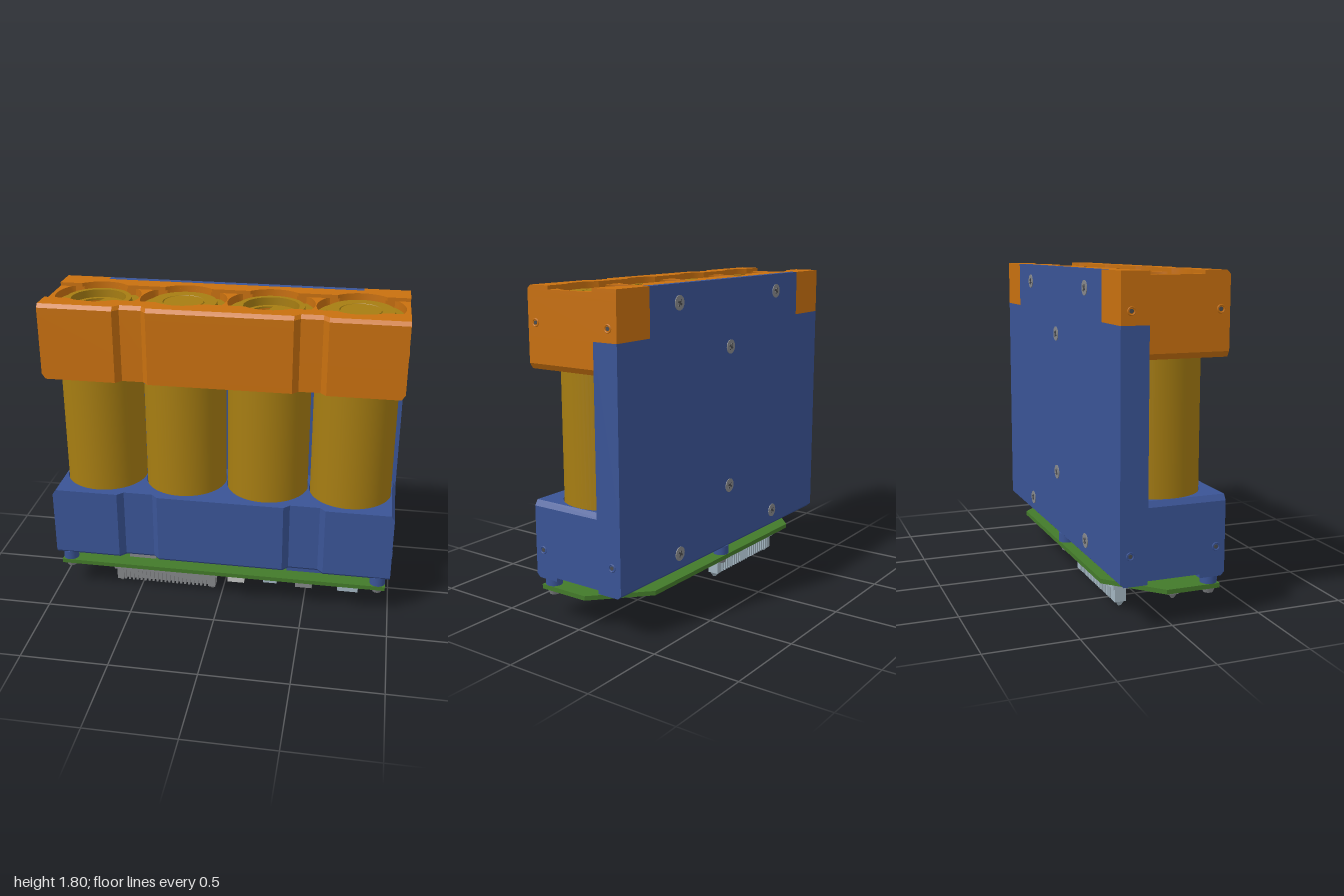
import * as THREE from 'three';
import { toCreasedNormals } from 'three/addons/utils/BufferGeometryUtils.js';

const mat = (name, color) => Object.assign(new THREE.MeshStandardMaterial({ color }), { name });
const CELLS = [0.735, 0.245, -0.245, -0.735];
const MID = 1.017; // height about which the two holders mirror
const R = 0.242, LIP = 0.195;

export function createModel() {
  const orange = mat('orange plastic', 0xc8700f);
  const blue = mat('blue plastic', 0x3a5496);
  const olive = mat('olive cell', 0xa67d12);
  const green = mat('green board', 0x437a2a);
  const grey = mat('grey metal', 0x85878a);
  const steel = mat('pale steel', 0xa3b6c2);
  const dark = mat('dark grey', 0x4a4c50);
  const white = mat('off white part', 0xc4c6c4);

  const root = new THREE.Group();
  root.name = 'batteryPack';
  const group = (name) => {
    const g = new THREE.Group();
    g.name = name;
    root.add(g);
    return g;
  };
  const add = (parent, name, geo, material, x = 0, y = 0, z = 0) => {
    const m = new THREE.Mesh(geo, material);
    m.name = name;
    m.position.set(x, y, z);
    parent.add(m);
    return m;
  };
  const box = (parent, name, material, x0, x1, y0, y1, z0, z1) =>
    add(parent, name, new THREE.BoxGeometry(x1 - x0, y1 - y0, z1 - z0), material,
      (x0 + x1) / 2, (y0 + y1) / 2, (z0 + z1) / 2);

  // Horizontal slab from an (x, z) shape; chamfer pulls the outer rim in at one level
  function slab(parent, name, material, shape, y0, y1, chamferY, cx = 0, cz = 0) {
    let geo = new THREE.ExtrudeGeometry(shape, { depth: y1 - y0, bevelEnabled: false, curveSegments: 40 });
    geo.rotateX(Math.PI / 2).translate(0, y1, 0);
    const p = geo.attributes.position;
    for (let i = 0; i < p.count; i++) {
      if (Math.abs(p.getY(i) - chamferY) > 1e-4) continue;
      const x = p.getX(i), z = p.getZ(i);
      if (Math.abs(x) > 0.99) p.setX(i, x - Math.sign(x) * cx);
      if (Math.abs(z) > 0.245) p.setZ(i, z - Math.sign(z) * cz);
    }
    geo = toCreasedNormals(geo, 0.5);
    add(parent, name, geo, material);
  }

  // Front edge with two shallow grooves, listed from -x to +x
  const frontEdge = (inner, outer) => {
    const pts = [[-1, 0.29]];
    for (const c of [-0.49, 0.49])
      pts.push([c - outer, 0.29], [c - inner, 0.255], [c + inner, 0.255], [c + outer, 0.29]);
    return [...pts, [1, 0.29]];
  };
  const flatBack = [[-1, -0.29], [1, -0.29]];
  const steppedBack = [[-1, -0.29], [-0.74, -0.29], [-0.74, -0.25], [0.74, -0.25], [0.74, -0.29], [1, -0.29]];
  const toShape = (pts) => new THREE.Shape(pts.map(([x, z]) => new THREE.Vector2(x, z)));

  // Closed block with one hole per cell; narrowed holes have flats in z
  function block(front, back, narrowed) {
    const s = toShape([...front, ...[...back].reverse()]);
    for (const c of CELLS) {
      const pts = [];
      for (let i = 0; i < 72; i++) {
        const t = (i / 72) * Math.PI * 2;
        const r = narrowed ? Math.max(LIP, Math.min(R, 0.15 / Math.max(1e-3, Math.abs(Math.sin(t))))) : R;
        pts.push(new THREE.Vector2(c + r * Math.cos(t), r * Math.sin(t)));
      }
      s.holes.push(new THREE.Path(pts));
    }
    return s;
  }
  // Block whose other edge, at z = e, is cut by the cell circles
  function scalloped(edge, e, r, clockwise) {
    const s = toShape(edge);
    s.lineTo(1, e);
    const a = Math.asin(e / r);
    for (const c of CELLS) s.absarc(c, 0, r, a, Math.PI - a, clockwise);
    s.lineTo(-1, e);
    return s;
  }

  // Upper holder
  const top = group('upperHolder');
  const of = frontEdge(0.06, 0.092);
  slab(top, 'upperSkirtEdge', orange, scalloped(of, -0.14, R, false), 1.37, 1.4, 1.37, 0.02);
  slab(top, 'upperSkirt', orange, scalloped(of, -0.14, R, false), 1.4, 1.54);
  slab(top, 'upperBlock', orange, block(of, steppedBack, false), 1.54, 1.74);
  slab(top, 'upperLip', orange, block(of, steppedBack, true), 1.74, 1.78);
  slab(top, 'upperFrontRail', orange, scalloped(of, 0.15, LIP, false), 1.78, 1.8, 1.8, 0, 0.02);
  slab(top, 'upperRearRail', orange, scalloped(steppedBack, -0.14, LIP, true), 1.78, 1.8);

  // Lower holder and rear wall
  const low = group('lowerHolder');
  const bf = frontEdge(0.086, 0.12);
  slab(low, 'lowerBlockEdge', blue, block(bf, flatBack, false), 0.635, 0.665, 0.665, 0.02);
  slab(low, 'lowerBlock', blue, block(bf, flatBack, false), 0.295, 0.635);
  slab(low, 'lowerLip', blue, block(bf, flatBack, true), 0.255, 0.295);
  slab(low, 'lowerFrontRail', blue, scalloped(bf, 0.15, LIP, false), 0.235, 0.255, 0.235, 0, 0.02);
  slab(low, 'lowerRearRail', blue, scalloped(flatBack, -0.14, LIP, true), 0.235, 0.255, 0.235, 0, 0.02);
  slab(low, 'rearWall', blue, scalloped(flatBack, -0.14, R, true), 0.635, 1.54);
  box(low, 'rearWallTop', blue, -0.74, 0.74, 1.54, 1.8, -0.29, -0.25);

  // Screws on the rear wall
  const screws = group('rearScrews');
  const back = [-0.49, 0.49].flatMap((x) => [[x, 1.7], [x, 0.335]]).concat([[0, 1.42], [0, 0.61]]);
  for (const [x, y] of back) {
    add(screws, 'screwHead', new THREE.CylinderGeometry(0.04, 0.04, 0.006, 24).rotateX(Math.PI / 2), grey, x, y, -0.291);
    for (const turn of [0.5, 0.5 + Math.PI / 2])
      add(screws, 'screwSlot', new THREE.BoxGeometry(0.04, 0.01, 0.004), dark, x, y, -0.294).rotation.z = turn;
  }

  // Small threaded holes on both ends
  const ends = group('endHoles');
  for (const side of [-1, 1])
    for (const z of [0.24, -0.235])
      for (const y of [1.61, 0.395]) {
        const m = y > 1 ? orange : blue;
        add(ends, 'holeRim', new THREE.TorusGeometry(0.019, 0.004, 6, 20).rotateY(Math.PI / 2), m, side, y, z);
        add(ends, 'holeCentre', new THREE.CylinderGeometry(0.011, 0.011, 0.004, 16).rotateZ(Math.PI / 2), dark, side, y, z);
      }

  // Round cells; vented ends have three lobes cut through the disc
  const cells = group('cells');
  const ventDisc = () => {
    const s = new THREE.Shape().absarc(0, 0, 0.16, 0, Math.PI * 2);
    for (let k = 0; k < 3; k++) {
      const a = (k * Math.PI * 2) / 3, h = new THREE.Path();
      h.absarc(0, 0, 0.13, a - 0.5, a + 0.5, false);
      h.lineTo(0.075 * Math.cos(a + 0.25), 0.075 * Math.sin(a + 0.25));
      h.lineTo(0.075 * Math.cos(a - 0.25), 0.075 * Math.sin(a - 0.25));
      s.holes.push(h);
    }
    return new THREE.ExtrudeGeometry(s, { depth: 0.01, bevelEnabled: false, curveSegments: 24 }).rotateX(Math.PI / 2);
  };
  const lathe = (pts) => toCreasedNormals(
    new THREE.LatheGeometry(pts.map(([r, y]) => new THREE.Vector2(r, y)), 64), 0.5);
  CELLS.forEach((x, i) => {
    const vented = i % 2 === 1;
    const end = vented
      ? [[0.19, 1.74], [0.185, 1.765], [0.155, 1.765], [0.155, 1.71]]
      : [[0.19, 1.74], [0.185, 1.765], [0.118, 1.765], [0.114, 1.758], [0.11, 1.765], [0, 1.765]];
    add(cells, 'cellBody', lathe([[0.155, 0.32], [0.155, 0.27], [0.185, 0.27], [0.19, 0.296], [0.237, 0.296],
      [0.237, 1.738], ...end]), olive, x);
    if (vented) add(cells, 'ventDisc', ventDisc(), olive, x, 1.72);
    add(cells, 'lowerVentDisc', ventDisc(), olive, x, 0.31);
  });

  // Circuit board with standoffs and screws
  const board = group('circuitBoard');
  slab(board, 'board', green, toShape([[-0.975, 0.28], [0.975, 0.28], [0.975, -0.02], [0.7, -0.28],
    [-0.7, -0.28], [-0.975, -0.02]]), 0.16, 0.185);
  for (const [x, z] of [[-0.93, 0.235], [0.93, 0.235], [0, -0.235]]) {
    add(board, 'standoff', new THREE.CylinderGeometry(0.045, 0.045, 0.055, 24), blue, x, 0.21, z);
    add(board, 'boardScrew', new THREE.CylinderGeometry(0.038, 0.026, 0.03, 20), grey, x, 0.145, z);
  }
  box(board, 'topSocket', grey, -0.575, -0.41, 0.185, 0.212, 0.11, 0.19);
  box(board, 'topPlug', blue, 0.39, 0.6, 0.185, 0.215, 0.11, 0.19);

  // Two long connectors under the board
  for (const [z, m] of [[0.165, grey], [-0.15, steel]]) {
    const g = group(z > 0 ? 'frontConnector' : 'rearConnector');
    box(g, 'connectorBase', m, -0.67, -0.03, 0.1, 0.16, z - 0.045, z + 0.045);
    box(g, 'connectorCore', m, -0.65, -0.05, 0.035, 0.1, z - 0.025, z + 0.025);
    for (let i = 0; i < 22; i++) {
      const x = -0.612 + i * 0.025;
      box(g, 'connectorRib', m, x, x + 0.012, 0.025, 0.1, z - 0.033, z + 0.033);
    }
    for (const x of [-0.637, -0.063]) {
      box(g, 'guidePost', m, x - 0.02, x + 0.02, 0.025, 0.1, z - 0.033, z + 0.033);
      add(g, 'guideTip', new THREE.CylinderGeometry(0.027, 0.01, 0.025, 4).rotateY(Math.PI / 4), m, x, 0.0125, z);
    }
  }

  // Parts on the underside: x, z, width, depth, height, material
  const parts = group('boardParts');
  const list = [
    [0.43, 0.1, 0.08, 0.08, 0.02, orange], [0.115, 0.01, 0.11, 0.11, 0.012, blue],
    [0.485, -0.02, 0.12, 0.07, 0.03, steel], [0.6, 0.12, 0.08, 0.07, 0.025, steel],
    [0.24, 0.17, 0.07, 0.06, 0.025, orange], [0.3, 0.24, 0.08, 0.05, 0.025, steel],
    [0.095, 0.25, 0.1, 0.05, 0.035, white], [0.76, 0.25, 0.12, 0.05, 0.03, steel],
    [0.855, 0.14, 0.14, 0.11, 0.02, dark], [0.5, 0.25, 0.1, 0.05, 0.03, grey],
    [0.0, 0.1, 0.06, 0.05, 0.025, orange], [0.3, -0.12, 0.07, 0.07, 0.02, dark],
    [-0.78, 0.0, 0.07, 0.06, 0.02, orange], [0.62, 0.0, 0.06, 0.06, 0.025, blue],
  ];
  for (const [x, z, w, d, h, m] of list)
    box(parts, 'component', m, x - w / 2, x + w / 2, 0.16 - h, 0.16, z - d / 2, z + d / 2);
  for (let i = 0; i < 30; i++) {
    const x = 0.02 + ((i * 0.377) % 0.8), z = -0.2 + ((i * 0.173) % 0.43);
    box(parts, 'chipPart', [steel, olive, dark][i % 3], x, x + 0.03, 0.148, 0.16, z, z + 0.018);
  }
  return root;
}
